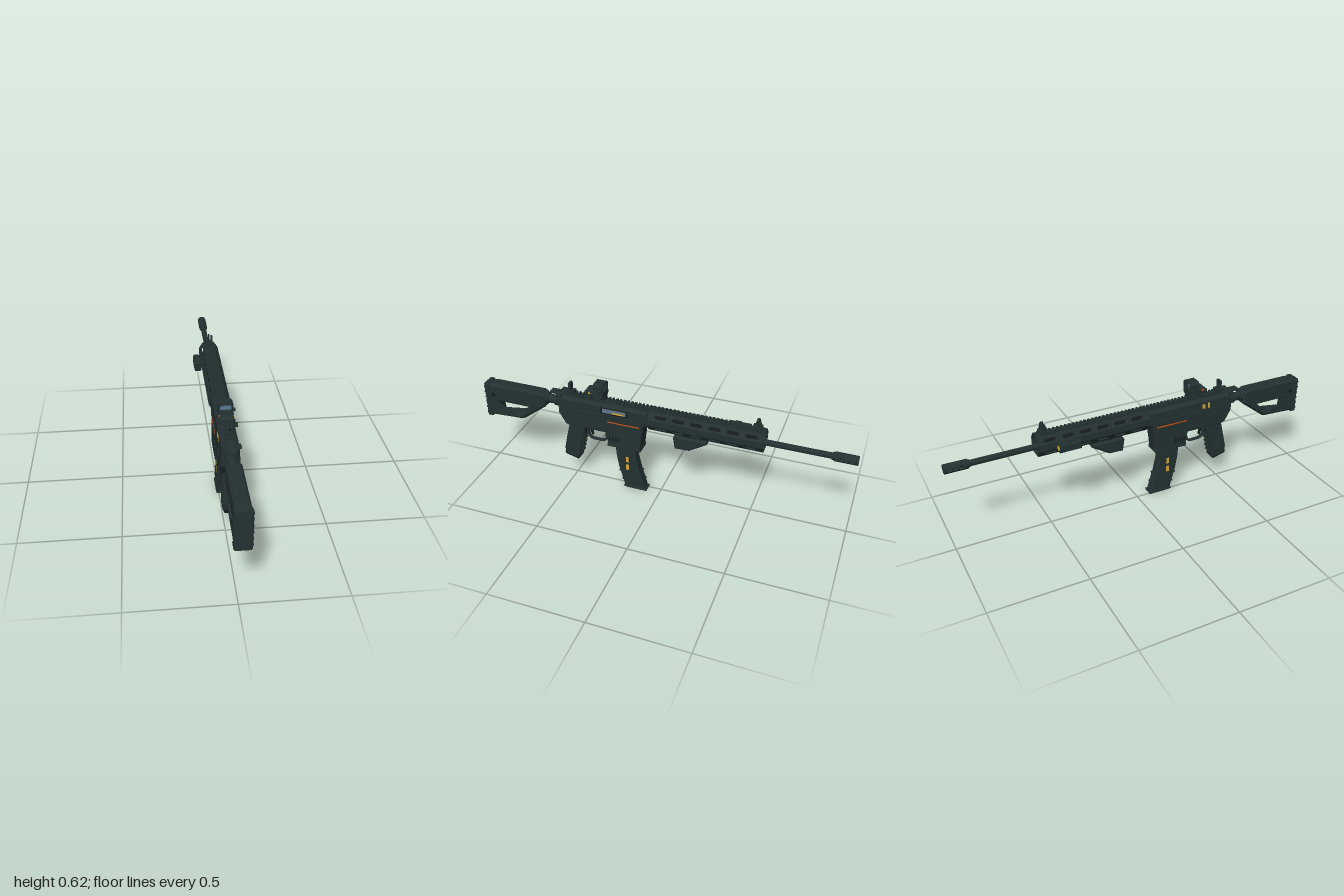
import * as THREE from 'three';

const mat = (name, color) => { const m = new THREE.MeshStandardMaterial({ color }); m.name = name; return m; };

export function createModel() {
  const body = mat('dark green grey', 0x243131), dark = mat('near black', 0x141a1b);
  const orange = mat('orange', 0xc4541c), yellow = mat('yellow', 0xd6a83a);
  const steel = mat('steel blue', 0x61758c), glass = mat('lens blue', 0x587793);

  const model = new THREE.Group();
  const root = new THREE.Group();
  root.name = 'rifle';
  root.position.x = 0.016;
  model.add(root);

  const add = (name, geo, m, x = 0, y = 0, z = 0) => {
    const mesh = new THREE.Mesh(geo, m);
    mesh.name = name;
    mesh.position.set(x, y, z);
    root.add(mesh);
    return mesh;
  };
  const box = (name, w, h, d, x, y, z, m = body) => add(name, new THREE.BoxGeometry(w, h, d), m, x, y, z);
  // cylinder along z or x
  const rod = (name, r, len, axis, x, y, z, m = body, r2 = r) => {
    const g = new THREE.CylinderGeometry(r, r2, len, 18);
    if (axis === 'z') g.rotateX(Math.PI / 2); else g.rotateZ(Math.PI / 2);
    return add(name, g, m, x, y, z);
  };
  const path = pts => pts.map(p => new THREE.Vector2(p[0], p[1]));
  // side outline given as [z, y], extruded across x with chamfered edges
  const slab = (name, pts, half, bevel, m = body, holes = [], x = 0) => {
    const s = new THREE.Shape(path(pts));
    holes.forEach(h => s.holes.push(new THREE.Path(path(h))));
    const g = new THREE.ExtrudeGeometry(s, {
      depth: 2 * (half - bevel), bevelEnabled: bevel > 0, bevelSize: bevel, bevelThickness: bevel,
      bevelOffset: -bevel, bevelSegments: 1, curveSegments: 8,
    });
    g.translate(0, 0, -(half - bevel)).rotateY(-Math.PI / 2);
    return add(name, g, m, x);
  };

  // stock with open window and ribbed butt pad
  slab('stock', [[0.985, 0.305], [0.985, 0.498], [0.94, 0.503], [0.66, 0.503], [0.64, 0.49], [0.64, 0.425], [0.775, 0.322], [0.8, 0.315]],
    0.037, 0.01, body, [[[0.925, 0.4], [0.775, 0.4], [0.738, 0.4], [0.79, 0.348], [0.92, 0.328]]]);
  slab('buttPad', [[1, 0.3], [1, 0.5], [0.972, 0.503], [0.972, 0.3]], 0.041, 0.006);
  for (let i = 0; i < 6; i++) box('buttPadRib', 0.086, 0.008, 0.026, 0, 0.325 + i * 0.032, 0.985);
  for (const s of [-1, 1]) {
    box('stockRidge', 0.003, 0.006, 0.25, s * 0.037, 0.465, 0.8);
    rod('slingSocket', 0.011, 0.003, 'x', s * 0.0375, 0.438, 0.95, dark);
  }

  // buffer tube
  rod('bufferTube', 0.024, 0.12, 'z', 0, 0.465, 0.6);
  for (const z of [0.562, 0.58]) rod('castleNut', 0.031, 0.012, 'z', 0, 0.465, z);
  rod('stockCollar', 0.03, 0.02, 'z', 0, 0.465, 0.637);

  // receivers
  slab('upperReceiver', [[0.556, 0.42], [0.556, 0.5], [0.54, 0.516], [0.055, 0.516], [0.055, 0.43], [0.08, 0.41]], 0.042, 0.013);
  slab('lowerReceiver', [[0.556, 0.46], [0.556, 0.414], [0.52, 0.352], [0.5, 0.345], [0.29, 0.345], [0.278, 0.27], [0.1, 0.27], [0.084, 0.39], [0.075, 0.46]], 0.044, 0.006);
  slab('magazineWellLip', [[0.282, 0.264], [0.282, 0.28], [0.096, 0.28], [0.096, 0.264]], 0.045, 0.004);
  slab('chargingHandle', [[0.61, 0.51], [0.61, 0.522], [0.49, 0.524], [0.49, 0.51]], 0.02, 0.002);
  box('chargingHandleWing', 0.094, 0.012, 0.026, 0, 0.516, 0.55);

  for (const s of [-1, 1]) {
    box('accentStripe', 0.003, 0.006, 0.178, s * 0.0445, 0.418, 0.189, orange);
    for (const [z, y] of [[0.52, 0.405], [0.33, 0.375], [0.42, 0.385], [0.11, 0.44]])
      rod('receiverPin', 0.007, 0.006, 'x', s * 0.044, y, z);
    for (let i = 0; i < 4; i++) box('wellRib', 0.004, 0.026, 0.008, s * 0.0445, 0.315, 0.215 + i * 0.017, dark);
    box('selectorLever', 0.008, 0.01, 0.04, s * 0.046, 0.42, 0.445);
    rod('selectorHub', 0.012, 0.01, 'x', s * 0.045, 0.42, 0.46);
    box('controlButton', 0.01, 0.022, 0.026, s * 0.046, 0.37, 0.29);
  }

  // ejection port, bolt, cartridge and side knob
  box('ejectionFrame', 0.004, 0.036, 0.15, 0.042, 0.481, 0.238, dark);
  box('bolt', 0.004, 0.024, 0.13, 0.0435, 0.483, 0.238, steel);
  box('cartridge', 0.004, 0.009, 0.062, 0.045, 0.477, 0.215, yellow);
  box('portCover', 0.006, 0.006, 0.15, 0.044, 0.459, 0.238);
  rod('boltHandle', 0.006, 0.02, 'x', 0.045, 0.489, 0.32);
  rod('boltKnob', 0.012, 0.016, 'x', 0.053, 0.489, 0.32);
  for (const [z, d, h] of [[0.382, 0.018, 0.024], [0.412, 0.01, 0.032]])
    box('fireMark', 0.003, h, d, -0.0425, 0.476, z, yellow);

  // pistol grip with finger ridges
  slab('grip', [[0.505, 0.355], [0.41, 0.355], [0.42, 0.3], [0.438, 0.23], [0.46, 0.13], [0.475, 0.124], [0.54, 0.142], [0.546, 0.18], [0.53, 0.25]], 0.033, 0.01);
  slab('gripCap', [[0.456, 0.137], [0.47, 0.12], [0.545, 0.14], [0.546, 0.155]], 0.028, 0.003, dark);
  for (let i = 0; i < 5; i++) {
    const r = box('gripRidge', 0.05, 0.01, 0.012, 0, 0.28 - i * 0.028, 0.426 + i * 0.0063);
    r.rotation.x = 0.22;
    for (const s of [-1, 1]) box('gripPanelRib', 0.004, 0.006, 0.045, s * 0.033, 0.28 - i * 0.025, 0.475 + i * 0.007).rotation.x = 0.22;
  }

  // trigger guard and trigger
  const guard = new THREE.CatmullRomCurve3([[0.35, 0.415], [0.285, 0.405], [0.266, 0.385], [0.264, 0.325], [0.281, 0.304], [0.35, 0.299]]
    .map(([y, z]) => new THREE.Vector3(0, y, z)), false, 'catmullrom', 0.2);
  const guardGeo = new THREE.TubeGeometry(guard, 30, 0.006, 6);
  guardGeo.scale(2.2, 1, 1);
  add('triggerGuard', guardGeo, body);
  slab('trigger', [[0.4, 0.35], [0.375, 0.35], [0.385, 0.32], [0.378, 0.29], [0.385, 0.287], [0.396, 0.315]], 0.008, 0.002, dark);

  // curved magazine
  slab('magazine', [[0.134, 0.29], [0.128, 0.2], [0.112, 0.125], [0.095, 0.065], [0.08, 0.01], [0.196, 0.01], [0.21, 0.065], [0.227, 0.125], [0.24, 0.2], [0.246, 0.29]].reverse(), 0.026, 0.004);
  slab('magazineBase', [[0.073, 0], [0.07, 0.012], [0.2, 0.014], [0.203, 0.004], [0.19, 0]].reverse(), 0.029, 0.003);
  for (const [y, z] of [[0.055, 0.15], [0.107, 0.164]])
    box('magazineBand', 0.056, 0.008, 0.12, 0, y, z);
  for (const s of [-1, 1]) for (const y of [0.187, 0.137])
    box('magazineWindow', 0.003, 0.034, 0.016, s * 0.0265, y, 0.178, yellow);

  // eight-sided handguard made of slotted panels
  const ring = [[0.03, 0.415], [0.053, 0.45], [0.053, 0.485], [0.03, 0.52], [-0.03, 0.52], [-0.053, 0.485], [-0.053, 0.45], [-0.03, 0.415]];
  const zBack = 0.052, length = 0.6;
  ring.forEach((a, i) => {
    const b = ring[(i + 1) % 8], dx = b[0] - a[0], dy = b[1] - a[1], w = Math.hypot(dx, dy);
    const s = new THREE.Shape(path([[0, 0], [length, 0], [length, w], [0, w]]));
    if (i === 0 || i === 2 || i === 4 || i === 6) for (let k = 0; k < 6; k++) {
      const u = 0.035 + k * 0.094, v = w / 2, h = 0.009;
      s.holes.push(new THREE.Path(path([[u, v], [u + 0.008, v + h], [u + 0.057, v + h], [u + 0.065, v], [u + 0.057, v - h], [u + 0.008, v - h]])));
    }
    const g = new THREE.ExtrudeGeometry(s, { depth: 0.007, bevelEnabled: false });
    g.translate(0, 0, -0.007);
    const d = new THREE.Vector3(dx / w, dy / w, 0), n = new THREE.Vector3(dy / w, -dx / w, 0);
    g.applyMatrix4(new THREE.Matrix4().makeBasis(new THREE.Vector3(0, 0, -1), d, n).setPosition(a[0], a[1], zBack));
    add('handguardPanel', g, body);
  });
  for (const s of [-1, 1]) box('handguardRidge', 0.003, 0.008, 0.56, s * 0.0535, 0.468, -0.25);
  rod('barrelSleeve', 0.033, 0.56, 'z', 0, 0.467, -0.235, dark);

  // top rail
  box('rail', 0.034, 0.01, 1.04, 0, 0.519, -0.02);
  for (let i = 0; i < 50; i++) box('railTooth', 0.04, 0.009, 0.011, 0, 0.527, 0.488 - i * 0.0207);

  // barrel and vented muzzle brake
  rod('barrel', 0.0155, 0.4, 'z', 0, 0.457, -0.7);
  rod('barrelCollar', 0.02, 0.02, 'z', 0, 0.457, -0.885);
  rod('muzzleCore', 0.009, 0.04, 'z', 0, 0.457, -0.9, dark);
  const brake = (z0, len, open) => {
    const arcs = open ? [[0.45, Math.PI - 0.45], [Math.PI + 0.45, 2 * Math.PI - 0.45]] : [[0, Math.PI], [Math.PI, 2 * Math.PI]];
    for (const [a, b] of arcs) {
      const s = new THREE.Shape();
      s.absarc(0, 0, 0.024, a, b, false);
      s.absarc(0, 0, 0.012, b, a, true);
      add('muzzleBrake', new THREE.ExtrudeGeometry(s, { depth: len, bevelEnabled: false, curveSegments: 10 }), body, 0, 0.457, z0 - len);
    }
  };
  brake(-0.885, 0.025, false);
  for (let i = 0; i < 3; i++) {
    brake(-0.91 - i * 0.027, 0.016, true);
    brake(-0.926 - i * 0.027, i === 2 ? 0.02 : 0.011, false);
  }

  // angled foregrip
  box('foregripMount', 0.036, 0.022, 0.07, 0, 0.407, -0.165);
  slab('foregrip', [[-0.075, 0.385], [-0.09, 0.398], [-0.255, 0.4], [-0.257, 0.382], [-0.16, 0.322], [-0.085, 0.32]], 0.026, 0.008);

  // side lamp on the handguard
  box('lampMount', 0.014, 0.03, 0.07, -0.056, 0.466, -0.4);
  slab('sideLamp', [[-0.34, 0.443], [-0.34, 0.487], [-0.455, 0.487], [-0.455, 0.443]], 0.019, 0.005, body, [], -0.076);
  box('lampButton', 0.014, 0.01, 0.03, -0.076, 0.491, -0.39);
  rod('lampLens', 0.013, 0.004, 'z', -0.076, 0.465, -0.456, yellow);

  // folding sights
  box('rearSightBase', 0.042, 0.014, 0.045, 0, 0.536, 0.497);
  slab('rearSight', [[0.503, 0.54], [0.503, 0.588], [0.49, 0.588], [0.49, 0.54]], 0.018, 0.002);
  rod('rearAperture', 0.006, 0.016, 'z', 0, 0.576, 0.497, dark);
  box('frontSightBase', 0.042, 0.014, 0.045, 0, 0.536, -0.503);
  for (const s of [-1, 1]) slab('frontSightEar', [[-0.487, 0.54], [-0.497, 0.577], [-0.511, 0.577], [-0.52, 0.54]], 0.004, 0, body, [], s * 0.015);
  box('frontSightPost', 0.007, 0.045, 0.008, 0, 0.564, -0.504);

  // reflex sight
  box('sightMount', 0.036, 0.02, 0.1, 0, 0.538, 0.347);
  for (const z of [0.32, 0.375]) box('sightClamp', 0.082, 0.014, 0.024, 0, 0.543, z);
  slab('sightBody', [[0.405, 0.548], [0.405, 0.568], [0.395, 0.577], [0.297, 0.577], [0.297, 0.548]], 0.033, 0.005);
  const hood = new THREE.Shape(path([[-0.035, 0.55], [0.035, 0.55], [0.035, 0.612], [0.025, 0.622], [-0.025, 0.622], [-0.035, 0.612]]));
  hood.holes.push(new THREE.Path(path([[-0.028, 0.578], [0.028, 0.578], [0.028, 0.608], [0.022, 0.614], [-0.022, 0.614], [-0.028, 0.608]])));
  add('sightHood', new THREE.ExtrudeGeometry(hood, { depth: 0.054, bevelEnabled: false }), body, 0, 0, 0.298);
  box('sightLens', 0.057, 0.037, 0.006, 0, 0.596, 0.325, glass);
  rod('sightKnob', 0.008, 0.014, 'x', 0.04, 0.577, 0.325);
  box('sightMarkLeft', 0.005, 0.008, 0.012, -0.034, 0.571, 0.375, orange);
  box('sightMarkRight', 0.005, 0.008, 0.012, 0.033, 0.567, 0.375, yellow);

  return model;
}
